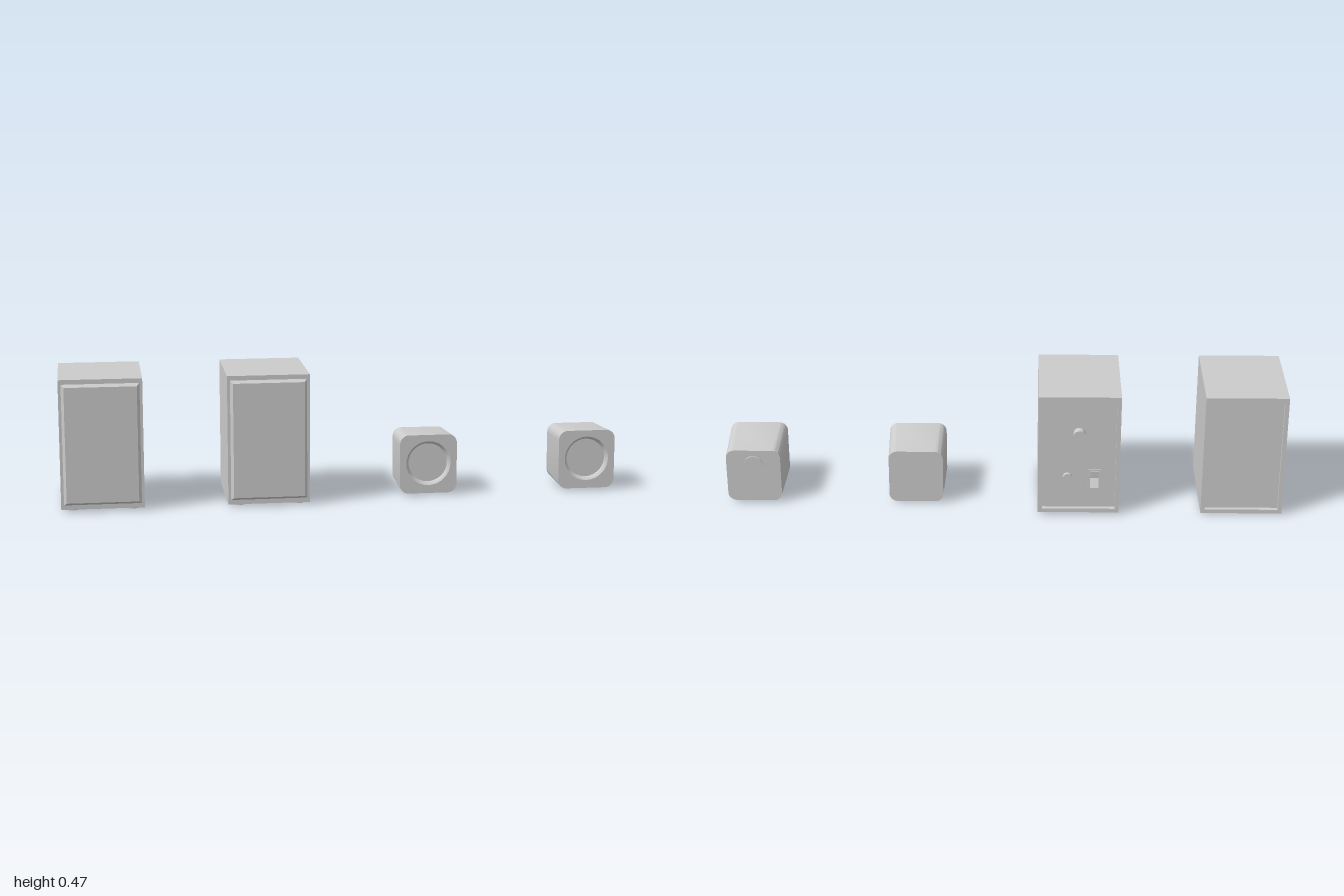
import * as THREE from 'three';
import { toCreasedNormals } from 'three/addons/utils/BufferGeometryUtils.js';

const grey = new THREE.MeshStandardMaterial({ color: 0xcccccc, side: THREE.DoubleSide });
const FLOOR = 0.008; // underside of the cases, carried by the feet

function add(parent, name, geometry, x = 0, y = 0, z = 0) {
  const mesh = new THREE.Mesh(geometry, grey);
  mesh.name = name;
  mesh.position.set(x, y, z);
  parent.add(mesh);
  return mesh;
}

function addFeet(parent, r, dx, dz) {
  for (const sx of [-1, 1]) for (const sz of [-1, 1]) {
    add(parent, 'foot', new THREE.CylinderGeometry(r, r, FLOOR, 32), sx * dx, FLOOR / 2, sz * dz);
  }
}

// Disc lying against a rear face, from z0 back to z1
function addDial(parent, name, r, x, y, z0, z1) {
  const geometry = new THREE.CylinderGeometry(r, r, z0 - z1, 40).rotateX(Math.PI / 2);
  add(parent, name, geometry, x, y, (z0 + z1) / 2);
}

function rectangle(PathType, w, h) {
  return new PathType([[-w, -h], [w, -h], [w, h], [-w, h]].map(([x, y]) => new THREE.Vector2(x / 2, y / 2)));
}

function roundedRectangle(x0, y0, x1, y1, r) {
  const s = new THREE.Shape();
  s.absarc(x1 - r, y0 + r, r, -Math.PI / 2, 0);
  s.absarc(x1 - r, y1 - r, r, 0, Math.PI / 2);
  s.absarc(x0 + r, y1 - r, r, Math.PI / 2, Math.PI);
  s.absarc(x0 + r, y0 + r, r, Math.PI, Math.PI * 1.5);
  s.closePath();
  return s;
}

// Tall cabinet with a bevelled grille and a recessed back
function createCabinet() {
  const g = new THREE.Group();
  const w = 0.29, h = 0.459, yMid = FLOOR + h / 2, recess = 0.015;
  add(g, 'cabinet', new THREE.BoxGeometry(w, h, 0.35 - recess), 0, yMid, recess / 2);

  const rim = rectangle(THREE.Shape, w, h);
  rim.holes.push(rectangle(THREE.Path, w - 0.03, h - 0.03));
  add(g, 'backRim', new THREE.ExtrudeGeometry(rim, { depth: recess, bevelEnabled: false }), 0, yMid, -0.175);

  // Grille: a box whose front face is drawn in to form the bevel
  const grille = new THREE.BoxGeometry(0.27, 0.427, 0.014);
  const p = grille.attributes.position;
  for (let i = 0; i < p.count; i++) {
    if (p.getZ(i) > 0) p.setXY(i, p.getX(i) * 0.93, p.getY(i) * 0.957);
  }
  add(g, 'grille', toCreasedNormals(grille, 0.3), 0, yMid, 0.182);
  addFeet(g, 0.0235, 0.105, 0.13);
  return g;
}

// Controls on the back of the powered cabinet
function addControls(g) {
  addDial(g, 'volumeKnob', 0.021, 0, 0.32, -0.16, -0.187);
  addDial(g, 'socket', 0.017, 0.04, 0.145, -0.16, -0.173);
  add(g, 'switchPlate', new THREE.BoxGeometry(0.046, 0.07, 0.003), -0.056, 0.14, -0.1615);
  const profile = new THREE.Shape([[0.16, 0.112], [0.184, 0.112], [0.165, 0.142], [0.167, 0.168], [0.16, 0.168]]
    .map(([x, y]) => new THREE.Vector2(x, y)));
  const rocker = new THREE.ExtrudeGeometry(profile, { depth: 0.03, bevelEnabled: false });
  add(g, 'switchRocker', rocker.rotateY(Math.PI / 2), -0.071, 0, 0);
}

// Small rounded cube that narrows and lowers toward the back
function createSatellite() {
  const g = new THREE.Group();
  const front = 0.101, depth = 0.203, recess = 0.016, hub = 0.118;
  const outline = () => roundedRectangle(-0.1035, FLOOR, 0.1035, 0.222, 0.032);

  function tapered(shape, z0, z1) {
    const geometry = new THREE.ExtrudeGeometry(shape, { depth: z1 - z0, bevelEnabled: false, curveSegments: 14 });
    geometry.translate(0, 0, z0);
    const p = geometry.attributes.position;
    for (let i = 0; i < p.count; i++) {
      const t = (front - p.getZ(i)) / depth;
      p.setX(i, p.getX(i) * (1 - 0.06 * t));
      p.setY(i, FLOOR + (p.getY(i) - FLOOR) * (1 - 0.055 * t));
    }
    return toCreasedNormals(geometry, 0.5);
  }

  const face = outline();
  const hole = new THREE.Path();
  hole.absarc(0, hub, 0.081, 0, Math.PI * 2, true);
  face.holes.push(hole);
  add(g, 'frontShell', tapered(face, front - recess, front));
  add(g, 'shell', tapered(outline(), front - depth, front - recess));

  // Curved funnel leading in to the flat driver
  const funnel = [[0.07, 0], [0.0715, 0.005], [0.075, 0.011], [0.081, recess]]
    .map(([r, y]) => new THREE.Vector2(r, y));
  add(g, 'driverRing', new THREE.LatheGeometry(funnel, 48).rotateX(Math.PI / 2), 0, hub, front - recess);
  addFeet(g, 0.0105, 0.062, 0.058);
  return g;
}

export function createModel() {
  const model = new THREE.Group();
  const place = (part, name, x) => {
    part.name = name;
    part.position.x = x;
    model.add(part);
    return part;
  };
  place(createCabinet(), 'passiveSpeaker', -0.855);
  addControls(place(createCabinet(), 'poweredSpeaker', -0.272));
  place(createSatellite(), 'plainSatellite', 0.311);
  const satellite = place(createSatellite(), 'dialSatellite', 0.895);
  addDial(satellite, 'rearDial', 0.035, 0, 0.153, -0.1, -0.107);
  return model;
}
